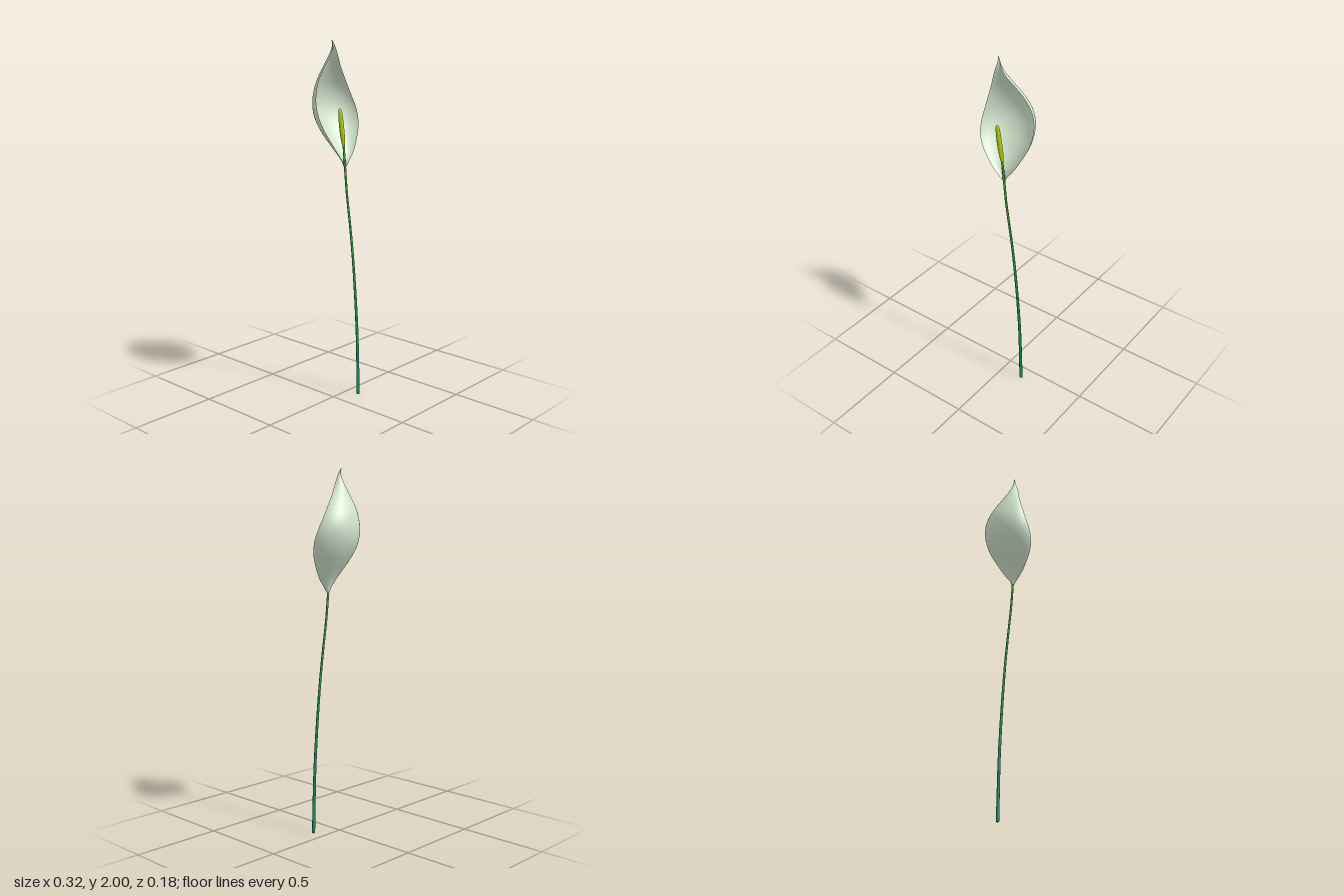
import * as THREE from 'three';

const mat = (name, color, side = THREE.FrontSide) => {
  const m = new THREE.MeshStandardMaterial({ color, side });
  m.name = name;
  return m;
};

// Centre line shared by the stem and spadix: x as a smooth function of height
const axis = new THREE.CatmullRomCurve3([
  [0.132, 0], [0.117, 0.4], [0.082, 0.8], [0.056, 1.0], [0.026, 1.2],
  [0.012, 1.335], [0.000, 1.45], [-0.016, 1.55], [-0.030, 1.65],
].map(([x, y]) => new THREE.Vector3(x, y, 0)));
const axisPoints = axis.getPoints(300);
const axisX = (y) => {
  const i = Math.max(1, axisPoints.findIndex((p) => p.y >= y - 1e-6));
  const a = axisPoints[i - 1], b = axisPoints[i];
  return THREE.MathUtils.mapLinear(y, a.y, b.y, a.x, b.x);
};
const STEM_Z = 0.074;

// Shifts an upright geometry sideways so that it follows the centre line
function bend(geo) {
  const p = geo.attributes.position;
  for (let i = 0; i < p.count; i++) {
    p.setX(i, p.getX(i) + axisX(THREE.MathUtils.clamp(p.getY(i), 0, 1.65)));
    p.setZ(i, p.getZ(i) + STEM_Z);
  }
  return geo;
}

// Open, cupped petal: each row is a rounded arc between its two rims
function spatheGeometry() {
  // y, left rim x, right rim x, left rim z, right rim z, back z
  const rows = [
    [1.335, 0.006, 0.018, 0.078, 0.078, 0.066],
    [1.37, -0.020, 0.040, 0.086, 0.081, 0.058],
    [1.42, -0.064, 0.078, 0.089, 0.079, 0.034],
    [1.50, -0.121, 0.122, 0.080, 0.066, -0.020],
    [1.56, -0.149, 0.147, 0.063, 0.050, -0.057],
    [1.62, -0.158, 0.157, 0.040, 0.031, -0.081],
    [1.68, -0.152, 0.150, 0.020, 0.010, -0.089],
    [1.74, -0.139, 0.126, 0.011, -0.001, -0.080],
    [1.80, -0.120, 0.087, 0.011, 0.004, -0.056],
    [1.86, -0.095, 0.038, 0.024, 0.020, -0.024],
    [1.91, -0.073, -0.002, 0.040, 0.039, 0.003],
    [1.95, -0.056, -0.024, 0.045, 0.044, 0.024],
    [1.98, -0.049, -0.036, 0.040, 0.040, 0.032],
    [2.00, -0.052, -0.046, 0.035, 0.035, 0.032],
  ];
  const curve = (f) => new THREE.CatmullRomCurve3(
    rows.map((r) => new THREE.Vector3(...f(r))), false, 'catmullrom');
  const left = curve((r) => [r[1], r[0], r[3]]);
  const right = curve((r) => [r[2], r[0], r[4]]);
  const back = curve((r) => [0, r[0], r[5]]);

  const U = 32, V = 64;
  const geo = new THREE.PlaneGeometry(1, 1, U, V);
  const p = geo.attributes.position;
  for (let j = 0; j <= V; j++) {
    const l = left.getPoint(j / V), r = right.getPoint(j / V), b = back.getPoint(j / V);
    const depth = (l.z + r.z) / 2 - b.z;
    for (let i = 0; i <= U; i++) {
      const a = (Math.PI * i) / U;
      const k = (1 - Math.cos(a)) / 2;
      p.setXYZ((V - j) * (U + 1) + i,
        THREE.MathUtils.lerp(l.x, r.x, k), l.y,
        THREE.MathUtils.lerp(l.z, r.z, k) - depth * Math.max(0, Math.sin(a)) ** 1.2);
    }
  }
  geo.computeVertexNormals();
  return geo;
}

export function createModel() {
  const flower = new THREE.Group();
  flower.name = 'callaLily';
  const add = (parent, name, geo, material) => {
    const mesh = new THREE.Mesh(geo, material);
    mesh.name = name;
    parent.add(mesh);
  };

  // Stem in colour bands, teal at the foot to leaf green at the top
  const stem = new THREE.Group();
  stem.name = 'stem';
  flower.add(stem);
  const bands = [
    ['teal', 0x119068], ['sea green', 0x15925c], ['mid green', 0x1e954e],
    ['green', 0x2b9941], ['leaf green', 0x3a9e35], ['light green', 0x4ca42a],
  ];
  const stops = [0, 0.27, 0.54, 0.8, 1.05, 1.26, 1.47];
  const radius = (y) => 0.0098 - 0.0032 * Math.min(1, y / 1.1);
  bands.forEach(([name, color], i) => {
    const y0 = stops[i], y1 = stops[i + 1];
    const geo = new THREE.CylinderGeometry(
      radius(y1), radius(y0), y1 - y0, 12, 8, i > 0 && i < bands.length - 1);
    geo.scale(1, 1, 0.85).translate(0, (y0 + y1) / 2, 0);
    add(stem, 'stemBand' + (i + 1), bend(geo), mat(name, color));
  });

  // Spadix
  const profile = new THREE.SplineCurve([
    [0, 1.445], [0.007, 1.45], [0.011, 1.48], [0.013, 1.53],
    [0.0125, 1.59], [0.010, 1.63], [0.006, 1.645], [0, 1.65],
  ].map(([x, y]) => new THREE.Vector2(x, y))).getPoints(28);
  profile.forEach((q) => { q.x = Math.max(0, q.x); });
  add(flower, 'spadix', bend(new THREE.LatheGeometry(profile, 20)), mat('yellow green', 0xb4d000));

  // Spathe
  add(flower, 'spathe', spatheGeometry(), mat('pale green white', 0xd2e5ce, THREE.DoubleSide));
  return flower;
}
